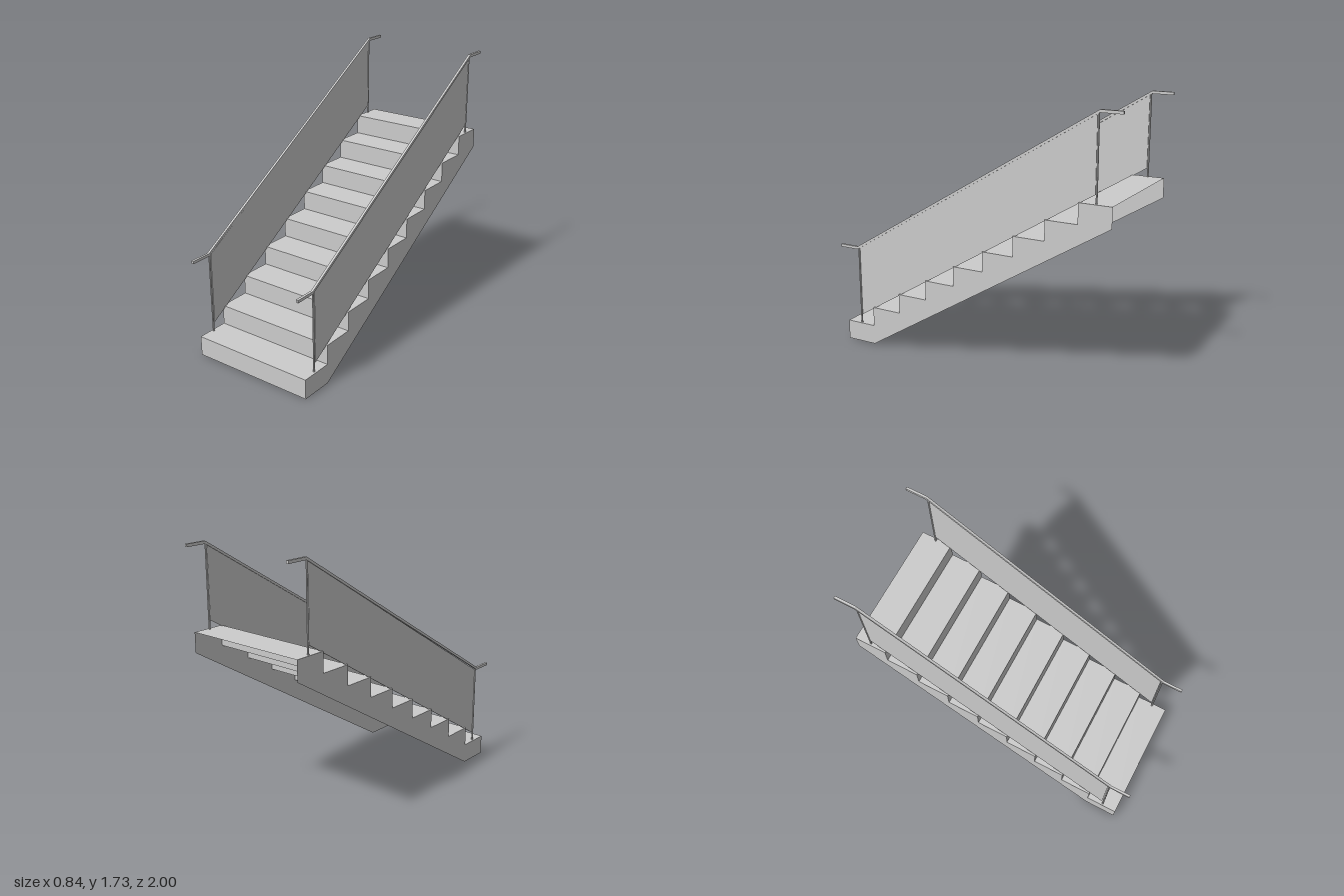
import * as THREE from 'three';

const STEPS = 9, RISE = 1.175 / STEPS, FRONT = 0.957, RUN = 2 * FRONT / STEPS, HALF = 0.422;

export function createModel() {
  const group = new THREE.Group();
  const mat = new THREE.MeshStandardMaterial({ color: 0xcccccc, flatShading: true, side: THREE.DoubleSide });

  const add = (name, geometry, x = 0, y = 0, z = 0) => {
    const mesh = new THREE.Mesh(geometry, mat);
    mesh.name = name;
    mesh.position.set(x, y, z);
    group.add(mesh);
    return mesh;
  };

  // Side outline given as [z, y] points; depth 0 makes a flat sheet
  const sideProfile = (points, depth) => {
    const shape = new THREE.Shape(points.map(([z, y]) => new THREE.Vector2(z, y)));
    const geometry = depth
      ? new THREE.ExtrudeGeometry(shape, { depth, bevelEnabled: false }).translate(0, 0, -depth / 2)
      : new THREE.ShapeGeometry(shape);
    return geometry.rotateY(-Math.PI / 2);
  };

  // Risers and treads, open underneath
  const stringer = [[FRONT - RUN, 0], [FRONT, 0]];
  for (let i = 0; i < STEPS; i++) {
    const z = FRONT - i * RUN, y = (i + 1) * RISE;
    add('riser', new THREE.PlaneGeometry(2 * HALF, RISE), 0, y - RISE / 2, z);
    add('tread', new THREE.PlaneGeometry(2 * HALF, RUN).rotateX(-Math.PI / 2), 0, y, z - RUN / 2);
    stringer.push([z, y], [z - RUN, y]);
  }
  stringer.push([-FRONT, 1.045]);

  for (const side of [-1, 1]) {
    const label = side > 0 ? 'left' : 'right';
    const x = side * 0.407;
    const lift = side < 0 ? 0.005 : -0.005;

    // Saw-toothed side plate
    add(label + 'Stringer', sideProfile(stringer, 0), side * HALF);

    // Infill panel between the posts
    add(label + 'Panel', sideProfile([[0.845, 0.19], [0.845, 0.665], [-0.845, 1.7], [-0.845, 1.23]], 0.006), x);

    // Handrail with level ends
    const rail = [[1, 0.665], [0.865, 0.665], [-0.86, 1.712], [-1, 1.712]];
    const upper = rail.map(([z, y]) => [z, y + 0.009 + lift]);
    const lower = rail.map(([z, y]) => [z, y - 0.009 + lift]).reverse();
    add(label + 'Handrail', sideProfile([...upper, ...lower], 0.016), x);

    // Posts at the bottom and top steps
    for (const [z, base, top] of [[0.855, RISE, 0.667], [-0.852, 1.175, 1.705]]) {
      add(label + 'Post', new THREE.CylinderGeometry(0.006, 0.006, top - base, 8), x, (base + top) / 2, z);
    }
  }
  return group;
}
